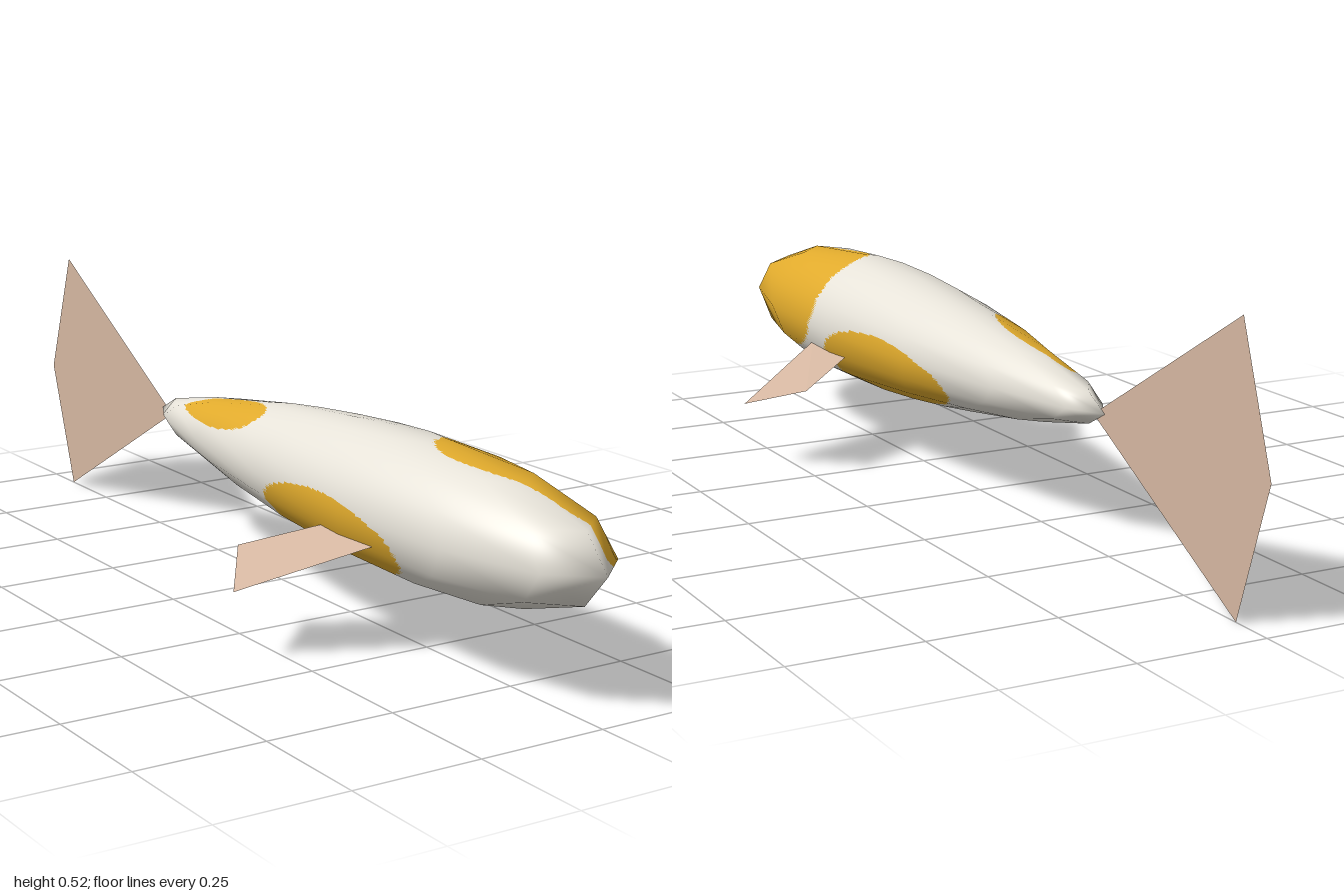
import * as THREE from 'three';
import { mergeVertices } from 'three/addons/utils/BufferGeometryUtils.js';

const mat = (name, color, side = THREE.FrontSide) => {
  const m = new THREE.MeshStandardMaterial({ color, side });
  m.name = name;
  return m;
};

const MID_Y = 0.2625, MID_Z = 0.26, HALF_LENGTH = 0.74, HALF_W = 0.141, HALF_H = 0.124;

// Low-poly sphere stretched along z, fuller at the head and narrow at the tail
function bodyShape() {
  let g = new THREE.SphereGeometry(1, 14, 8).rotateY(Math.PI / 2);
  g.deleteAttribute('uv');
  g.deleteAttribute('normal');
  g = mergeVertices(g, 1e-4);
  const p = g.attributes.position;
  for (let i = 0; i < p.count; i++) {
    const z = p.getZ(i), taper = 1 + 0.4 * z;
    p.setXYZ(i, p.getX(i) * HALF_W * taper, MID_Y + p.getY(i) * HALF_H * taper, MID_Z + z * HALF_LENGTH);
  }
  g.computeVertexNormals();
  return g;
}

// Patches: centre z, half length, centre angle around the body, half angle, lean, roundness
const PATCHES = [
  { z: 0.725, dz: 0.235, a: 27, da: 71, lean: 70, pow: 3 },    // head
  { z: 0.21, dz: 0.24, a: -30, da: 42, lean: 0, pow: 2 },      // left flank
  { z: -0.15, dz: 0.17, a: 123, da: 31, lean: 0, pow: 2 },     // back
  { z: 0.35, dz: 0.23, a: 208, da: 37, lean: 0, pow: 2 },      // right flank
  { z: 0.78, dz: 0.12, a: -58, da: 16, lean: 0, pow: 2 },      // chin
];

function inPatch(v) {
  const angle = THREE.MathUtils.radToDeg(Math.atan2((v.y - MID_Y) / HALF_H, v.x / HALF_W));
  return PATCHES.some(({ z, dz, a, da, lean, pow }) => {
    const centre = a + (z - v.z) * lean;
    const off = THREE.MathUtils.euclideanModulo(angle - centre + 180, 360) - 180;
    return Math.abs((v.z - z) / dz) ** pow + Math.abs(off / da) ** pow < 1;
  });
}

// Splits every facet into small flat pieces and sorts them into two colour groups
function paintedBody(n = 16) {
  const src = bodyShape();
  const lists = [{ pos: [], nor: [] }, { pos: [], nor: [] }];
  const read = (attr, i) => new THREE.Vector3().fromBufferAttribute(attr, i);
  const blend = (t, i, j) => new THREE.Vector3()
    .addScaledVector(t[0], 1 - (i + j) / n)
    .addScaledVector(t[1], i / n)
    .addScaledVector(t[2], j / n);

  for (let f = 0; f < src.index.count; f += 3) {
    const ids = [0, 1, 2].map(k => src.index.getX(f + k));
    const P = ids.map(i => read(src.attributes.position, i));
    const N = ids.map(i => read(src.attributes.normal, i));
    const emit = (...corners) => {
      const pts = corners.map(([i, j]) => blend(P, i, j));
      const centre = pts[0].clone().add(pts[1]).add(pts[2]).divideScalar(3);
      const list = lists[inPatch(centre) ? 1 : 0];
      corners.forEach(([i, j], k) => {
        list.pos.push(...pts[k].toArray());
        list.nor.push(...blend(N, i, j).normalize().toArray());
      });
    };
    for (let i = 0; i < n; i++) {
      for (let j = 0; j < n - i; j++) {
        emit([i, j], [i + 1, j], [i, j + 1]);
        if (i + j < n - 1) emit([i + 1, j], [i + 1, j + 1], [i, j + 1]);
      }
    }
  }

  const g = new THREE.BufferGeometry();
  const join = key => new THREE.Float32BufferAttribute(lists[0][key].concat(lists[1][key]), 3);
  g.setAttribute('position', join('pos'));
  g.setAttribute('normal', join('nor'));
  const first = lists[0].pos.length / 3;
  g.addGroup(0, first, 0);
  g.addGroup(first, lists[1].pos.length / 3, 1);
  return g;
}

// Thin four-cornered sheet
function sheet(name, corners, material) {
  const g = new THREE.BufferGeometry();
  const tris = [0, 1, 2, 0, 2, 3].flatMap(i => corners[i]);
  g.setAttribute('position', new THREE.Float32BufferAttribute(tris, 3));
  g.computeVertexNormals();
  const m = new THREE.Mesh(g, material);
  m.name = name;
  return m;
}

export function createModel() {
  const group = new THREE.Group();
  group.name = 'fish';
  const white = mat('pearlWhite', 0xe6e2d8);
  const gold = mat('gold', 0xe0aa2c);
  const finSkin = mat('finSkin', 0xd4b6a0, THREE.DoubleSide);

  const body = new THREE.Mesh(paintedBody(), [white, gold]);
  body.name = 'body';
  group.add(body);

  // Upright tail fan
  group.add(sheet('tailFin', [
    [0, 0.255, -0.44], [0, 0.525, -0.91], [0, 0.2625, -1], [0, 0, -0.91],
  ], finSkin));

  // Drooping side fins
  for (const [name, s] of [['leftFin', 1], ['rightFin', -1]]) {
    const corners = [[0.13, 0.218, 0.52], [0.345, 0.133, 0.388], [0.26, 0.177, 0.263], [0.13, 0.218, 0.35]]
      .map(([x, y, z]) => [s * x, y, z]);
    group.add(sheet(name, s > 0 ? corners : corners.reverse(), finSkin));
  }
  return group;
}
